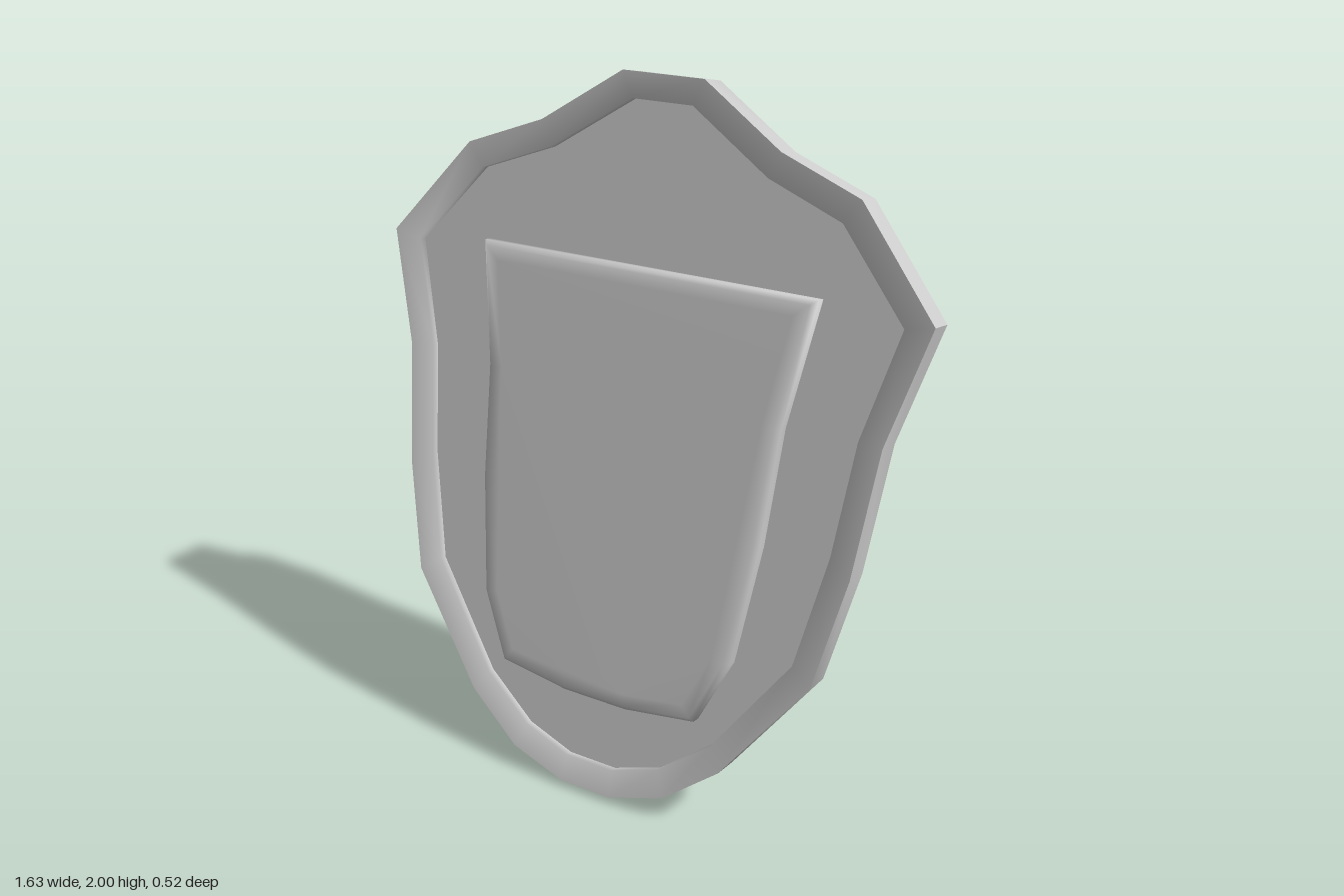
import * as THREE from 'three';
import { toCreasedNormals } from 'three/addons/utils/BufferGeometryUtils.js';

const TILT = 0.2163, SIN = Math.sin(TILT), COS = Math.cos(TILT);
const BACK = -0.092, FLOOR = -0.034, LIP = -0.01;

// Right half profiles, bottom to top, as upright [x, y] positions
const OUTER = [[0.08, 0.02], [0.25, 0.075], [0.41, 0.205], [0.637, 0.52], [0.7, 0.83],
  [0.732, 1.18], [0.817, 1.495], [0.585, 1.765], [0.355, 1.85], [0.12, 2]];
const INNER = [[0.075, 0.095], [0.22, 0.145], [0.37, 0.265], [0.575, 0.56], [0.635, 0.87],
  [0.663, 1.18], [0.737, 1.475], [0.54, 1.7], [0.325, 1.78], [0.09, 1.93]];
const PANEL = [[0.1, 0.295], [0.315, 0.325], [0.4, 0.515], [0.44, 0.85], [0.455, 1.17], [0.508, 1.51]];

// Mirror a half profile into a closed loop lying in the shield's own plane
function contour(half, depth) {
  const right = half.map(([x, y]) => new THREE.Vector2(x, (y - 1.01 - depth * SIN) / COS));
  return right.concat(right.map((p) => new THREE.Vector2(-p.x, p.y)).reverse());
}

// Move a loop inwards by d with mitred corners
function inset(loop, d) {
  const n = loop.length;
  return loop.map((p, i) => {
    const a = p.clone().sub(loop[(i + n - 1) % n]).normalize();
    const b = loop[(i + 1) % n].clone().sub(p).normalize();
    const m = new THREE.Vector2(-a.y - b.y, a.x + b.x);
    return p.clone().addScaledVector(m, d / (1 + a.dot(b)));
  });
}

// Skin a series of [loop, z] sections, optionally closing the last one
function skin(sections, capped = false) {
  const n = sections[0][0].length, pos = [], index = [];
  for (const [loop, z] of sections) for (const p of loop) pos.push(p.x, p.y, z);
  for (let s = 0; s < sections.length - 1; s++) {
    for (let i = 0; i < n; i++) {
      const a = s * n + i, b = s * n + (i + 1) % n;
      index.push(a, b, b + n, a, b + n, a + n);
    }
  }
  if (capped) {
    const base = (sections.length - 1) * n;
    for (const f of THREE.ShapeUtils.triangulateShape(sections.at(-1)[0], [])) {
      index.push(...f.map((i) => base + i));
    }
  }
  const geo = new THREE.BufferGeometry();
  geo.setAttribute('position', new THREE.Float32BufferAttribute(pos, 3));
  geo.setIndex(index);
  geo.computeVertexNormals();
  return geo;
}

export function createModel() {
  const group = new THREE.Group();
  group.name = 'shield';
  const material = new THREE.MeshStandardMaterial({ color: 0xcccccc });
  const body = new THREE.Group();
  body.name = 'shieldBody';
  body.position.set(0, 1.01, 0.0475);
  body.rotation.x = -TILT;
  group.add(body);

  const add = (name, geo) => {
    const mesh = new THREE.Mesh(geo, material);
    mesh.name = name;
    body.add(mesh);
    return mesh;
  };

  const outer = contour(OUTER, 0);
  const inner = contour(INNER, LIP);
  const panel = contour(PANEL, 0);

  // Outer edge, with creases at its sharper corners
  add('edge', toCreasedNormals(skin([[outer, BACK], [outer, 0]]), 0.6));

  // Flat back, turned to face backwards
  const back = add('back', new THREE.ShapeGeometry(new THREE.Shape(outer)));
  back.rotation.y = Math.PI;
  back.position.z = BACK;

  // Softly shaded rim falling to the sunken face
  add('rim', skin([[outer, 0], [inner, LIP], [inner, FLOOR]]));
  add('face', new THREE.ShapeGeometry(new THREE.Shape(inner))).position.z = FLOOR;

  // Raised centre panel with a rounded border
  add('centrePanel', skin([
    [panel, FLOOR], [panel, -0.004], [inset(panel, 0.014), 0.011], [inset(panel, 0.05), 0.014],
  ], true));

  return group;
}
